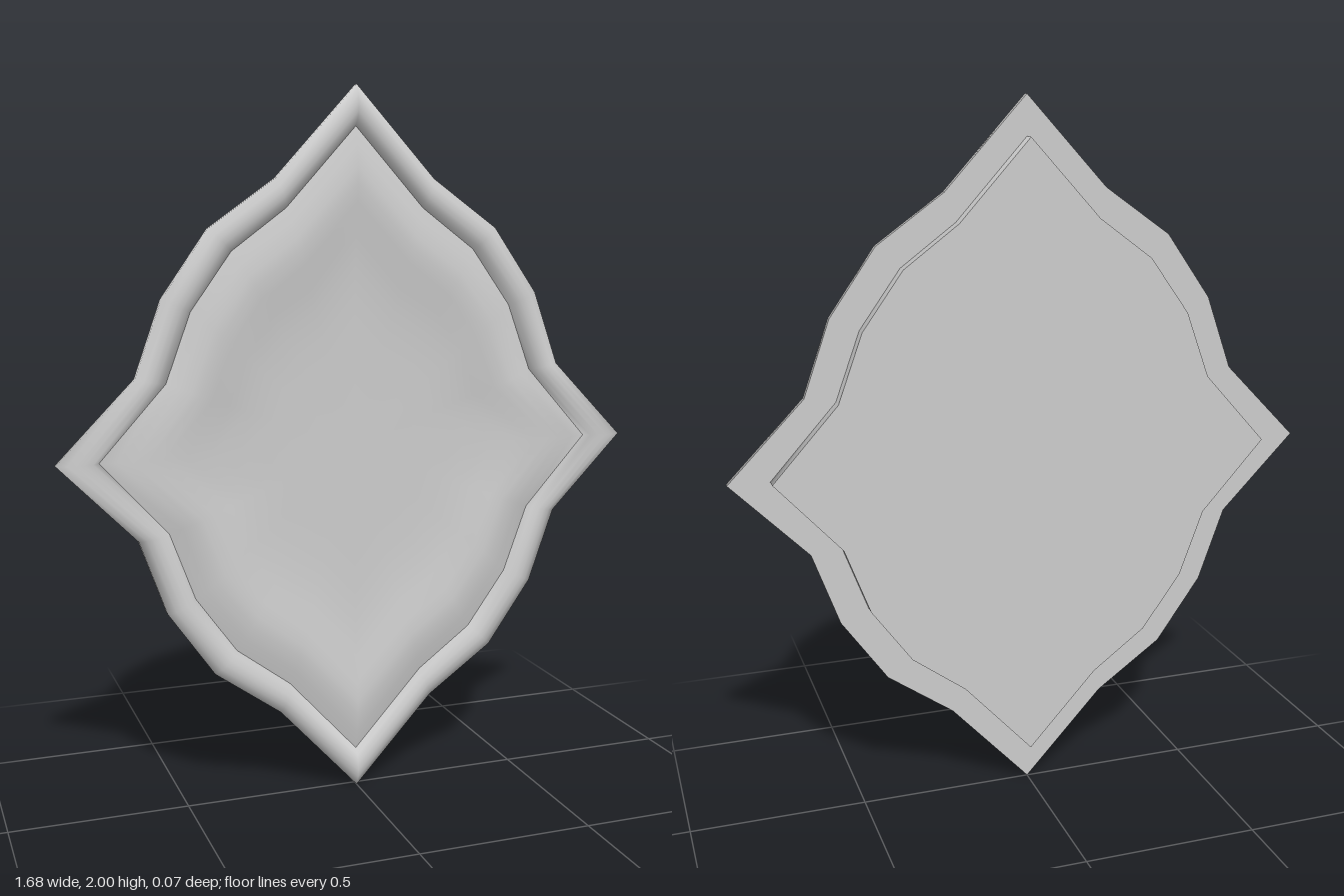
import * as THREE from 'three';

const material = new THREE.MeshStandardMaterial({ color: 0xcccccc });

// Upper right quarter of each outline, from top point to side point, about the centre
const OUTER = [[0, 1], [0.23, 0.75], [0.42, 0.615], [0.55, 0.43], [0.625, 0.22], [0.84, 0]];
const INNER = [[0, 0.89], [0.2, 0.67], [0.355, 0.555], [0.47, 0.395], [0.54, 0.205], [0.725, 0]];

// Mirror a quarter into a closed counter-clockwise outline
function mirrorQuarter(q) {
  const up = q.slice().reverse();
  const half = [...up, ...up.slice(0, -1).reverse().map(([x, y]) => [-x, y])];
  return [...half, ...half.slice(1, -1).reverse().map(([x, y]) => [x, -y])];
}
const outer = mirrorQuarter(OUTER);
const inner = mirrorQuarter(INNER);

// Ring of the panel or plate: the inner outline scaled about the centre
const scaled = (s, z) => inner.map(([x, y]) => [x * s, y * s + 1, z]);
// Ring of the frame, t = 0 on the outer outline and 1 on the inner one
const between = (t, z) => outer.map(([x, y], i) =>
  [x + (inner[i][0] - x) * t, y + (inner[i][1] - y) * t + 1, z]);

// Join successive rings with smooth quads; optionally close the last ring at its centre
function loft(name, rings, capZ) {
  const n = rings[0].length;
  const positions = rings.flat(2);
  const index = [];
  for (let r = 0; r < rings.length - 1; r++) {
    for (let i = 0; i < n; i++) {
      const a = r * n + i, b = r * n + (i + 1) % n;
      index.push(a, b, b + n, a, b + n, a + n);
    }
  }
  if (capZ !== undefined) {
    positions.push(0, 1, capZ);
    const last = (rings.length - 1) * n;
    for (let i = 0; i < n; i++) index.push(last + i, last + (i + 1) % n, rings.length * n);
  }
  const geometry = new THREE.BufferGeometry();
  geometry.setAttribute('position', new THREE.Float32BufferAttribute(positions, 3));
  geometry.setIndex(index);
  geometry.computeVertexNormals();
  const mesh = new THREE.Mesh(geometry, material);
  mesh.name = name;
  return mesh;
}

export function createModel() {
  const group = new THREE.Group();
  group.name = 'plaque';

  // Raised moulding: flat back, rounded outer edge and a steep fall to the panel
  const frame = new THREE.Group();
  frame.name = 'frame';
  const moulding = [[0, 0], [0, 0.018], [0.25, 0.031], [0.45, 0.035], [0.65, 0.033], [0.85, 0.025], [1, 0.01]];
  frame.add(
    loft('frameBack', [between(1, 0), between(0, 0)]),
    loft('frameFront', moulding.map(([t, z]) => between(t, z)))
  );
  group.add(frame);

  // Centre panel: a rolled border around a shallow dish
  const dish = [[1, 0.01], [0.94, 0.022], [0.88, 0.03], [0.83, 0.031], [0.77, 0.027],
    [0.68, 0.016], [0.58, 0.008], [0.46, 0.004], [0.3, 0.003]];
  group.add(loft('centrePanel', dish.map(([s, z]) => scaled(s, z)), 0.003));

  // Back plate behind the frame
  const plate = new THREE.Group();
  plate.name = 'backPlate';
  plate.add(
    loft('plateEdge', [scaled(1, -0.035), scaled(1, 0)]),
    loft('plateBack', [scaled(1, -0.035).reverse()], -0.035)
  );
  group.add(plate);

  return group;
}
